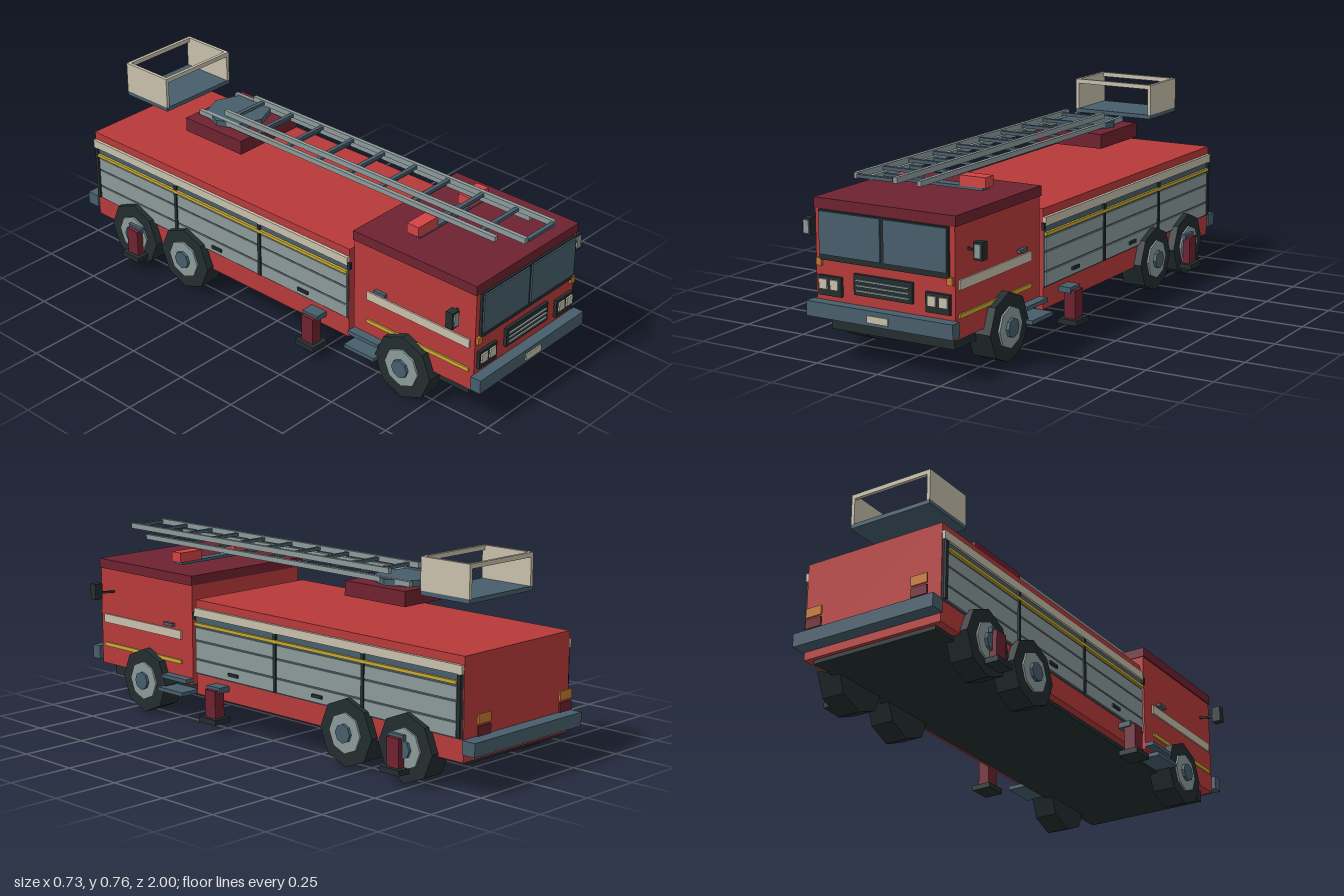
import * as THREE from 'three';

const mat = (name, color) => {
  const m = new THREE.MeshStandardMaterial({ color, flatShading: true });
  m.name = name;
  return m;
};

export function createModel() {
  const red = mat('body red', 0xb83a3a);
  const darkRed = mat('dark red', 0x6e2230);
  const brightRed = mat('beacon red', 0xd24343);
  const slate = mat('slate blue', 0x475e6c);
  const dark = mat('charcoal', 0x232d2f);
  const cream = mat('cream', 0xc8c0ac);
  const grey = mat('light grey', 0x8c9a9a);
  const yellow = mat('yellow', 0xc8a832);
  const orange = mat('orange', 0xc87830);

  const model = new THREE.Group();
  model.name = 'fireTruck';

  // Box given by its lower and upper bounds on each axis
  const box = (name, m, x0, x1, y0, y1, z0, z1, parent = model) => {
    const mesh = new THREE.Mesh(new THREE.BoxGeometry(x1 - x0, y1 - y0, z1 - z0), m);
    mesh.position.set((x0 + x1) / 2, (y0 + y1) / 2, (z0 + z1) / 2);
    mesh.name = name;
    parent.add(mesh);
    return mesh;
  };
  // The same box on both sides
  const pair = (name, m, x0, x1, ...rest) => {
    box(name + 'Left', m, x0, x1, ...rest);
    box(name + 'Right', m, -x1, -x0, ...rest);
  };

  // Chassis, cab and rear body
  box('chassis', dark, -0.25, 0.25, 0.1, 0.15, -0.93, 0.91);
  box('cab', red, -0.28, 0.28, 0.145, 0.53, 0.408, 0.95);
  box('cabRoof', darkRed, -0.285, 0.285, 0.53, 0.567, 0.405, 0.952);
  box('rearBody', red, -0.28, 0.28, 0.115, 0.48, -0.945, 0.385);

  // Bumpers and number plate
  box('frontBumper', slate, -0.296, 0.296, 0.16, 0.213, 0.95, 0.992);
  box('numberPlate', cream, -0.043, 0.043, 0.172, 0.197, 0.992, 0.997);
  box('rearBumper', slate, -0.287, 0.287, 0.145, 0.195, -1, -0.945);

  // Windscreen, grille, headlights and indicators
  box('windscreenFrame', dark, -0.26, 0.26, 0.355, 0.529, 0.95, 0.96);
  pair('windscreen', slate, 0.007, 0.256, 0.375, 0.525, 0.96, 0.966);
  box('grille', dark, -0.118, 0.118, 0.25, 0.323, 0.95, 0.962);
  for (const y of [0.267, 0.285, 0.303]) {
    box('grilleBar', grey, -0.107, 0.107, y - 0.003, y + 0.003, 0.962, 0.968);
  }
  pair('headlightHousing', dark, 0.17, 0.265, 0.232, 0.301, 0.95, 0.962);
  pair('innerHeadlight', cream, 0.181, 0.213, 0.255, 0.29, 0.962, 0.968);
  pair('outerHeadlight', cream, 0.226, 0.259, 0.255, 0.29, 0.962, 0.968);
  pair('indicator', orange, 0.253, 0.275, 0.333, 0.36, 0.95, 0.96);

  // Mirrors on thin arms
  for (const s of [1, -1]) {
    const a = new THREE.Vector3(s * 0.278, 0.443, 0.87);
    const b = new THREE.Vector3(s * 0.345, 0.443, 0.9);
    const arm = box('mirrorArm', dark, -0.004, 0.004, -0.004, 0.004, 0, a.distanceTo(b));
    arm.position.copy(a).lerp(b, 0.5);
    arm.lookAt(b);
  }
  pair('mirrorHousing', dark, 0.328, 0.363, 0.418, 0.48, 0.885, 0.915);
  pair('mirrorGlass', grey, 0.334, 0.357, 0.426, 0.473, 0.915, 0.92);

  // Cab side stripes, door handles and steps
  pair('cabStripe', cream, 0.28, 0.286, 0.313, 0.347, 0.47, 0.93);
  pair('cabYellowStripe', yellow, 0.28, 0.286, 0.217, 0.232, 0.47, 0.93);
  pair('doorHandle', slate, 0.28, 0.294, 0.358, 0.37, 0.51, 0.56);
  pair('upperStep', slate, 0.27, 0.315, 0.155, 0.17, 0.41, 0.55);
  pair('lowerStep', slate, 0.25, 0.335, 0.108, 0.123, 0.41, 0.55);

  // Shutter lockers along the body
  pair('lockerBacking', slate, 0.28, 0.284, 0.195, 0.42, -0.94, 0.384);
  pair('bodyStripe', cream, 0.28, 0.292, 0.418, 0.45, -0.943, 0.384);
  pair('bodyYellowStripe', yellow, 0.284, 0.294, 0.383, 0.395, -0.92, 0.382);
  for (const [z0, z1] of [[-0.04, 0.38], [-0.48, -0.06], [-0.918, -0.498]]) {
    for (const [y0, y1] of [[0.2, 0.25], [0.256, 0.322], [0.328, 0.375]]) {
      pair('shutterSlat', grey, 0.284, 0.289, y0, y1, z0, z1);
    }
    const mid = (z0 + z1) / 2;
    pair('shutterHandle', dark, 0.289, 0.296, 0.218, 0.23, mid - 0.025, mid + 0.025);
  }
  for (const z of [0.39, -0.05, -0.489, -0.93]) {
    pair('lockerPost', dark, 0.281, 0.292, z > 0.3 ? 0.405 : 0.2, z > 0.3 ? 0.43 : 0.418, z - 0.007, z + 0.007);
  }

  // Rear lights
  pair('rearIndicator', orange, 0.185, 0.25, 0.25, 0.285, -0.984, -0.977);
  pair('rearLight', darkRed, 0.185, 0.25, 0.208, 0.243, -0.984, -0.977);

  // Wheels: eight-sided tyre, rim and hub
  const disc = (name, m, r, x0, x1, parent) => {
    const g = new THREE.CylinderGeometry(r, r, x1 - x0, 8).rotateZ(Math.PI / 2);
    const mesh = new THREE.Mesh(g, m);
    mesh.position.x = (x0 + x1) / 2;
    mesh.name = name;
    parent.add(mesh);
  };
  for (const z of [0.66, -0.43, -0.71]) {
    for (const s of [1, -1]) {
      const wheel = new THREE.Group();
      wheel.name = 'wheel';
      disc('tyre', dark, 0.125, 0.22, 0.31, wheel);
      disc('rim', grey, 0.075, 0.3, 0.317, wheel);
      disc('hub', slate, 0.035, 0.31, 0.328, wheel);
      wheel.position.set(0, 0.125, z);
      wheel.rotation.y = s > 0 ? 0 : Math.PI;
      model.add(wheel);
    }
  }

  // Stabiliser legs
  for (const z of [0.24, -0.685]) {
    pair('stabiliserBeam', slate, 0.25, 0.33, 0.155, 0.176, z - 0.035, z + 0.035);
    pair('stabiliserLeg', darkRed, 0.3, 0.345, 0.06, 0.165, z - 0.028, z + 0.028);
    pair('stabiliserFoot', dark, 0.285, 0.361, 0.04, 0.06, z - 0.045, z + 0.045);
  }

  // Beacons on the cab roof
  box('beaconBase', slate, -0.18, 0.18, 0.575, 0.586, 0.575, 0.62);
  pair('beacon', brightRed, 0.087, 0.193, 0.585, 0.623, 0.57, 0.622);

  // Turntable
  box('turntableBase', darkRed, -0.152, 0.152, 0.57, 0.625, -0.56, -0.27);
  const turntable = new THREE.Mesh(new THREE.CylinderGeometry(0.12, 0.12, 0.022, 8), slate);
  turntable.position.set(0, 0.636, -0.43);
  turntable.name = 'turntable';
  model.add(turntable);

  // Two-section ladder
  const ladder = (name, inner, outer, y0, y1, z0, z1, firstRung, count) => {
    pair(name + 'Rail', grey, inner, outer, y0, y1, z0, z1);
    for (let i = 0; i < count; i++) {
      const z = firstRung + i * 0.151;
      box(name + 'Rung', slate, -inner, inner, y0 + 0.004, y1 - 0.005, z - 0.008, z + 0.008);
    }
  };
  ladder('lowerLadder', 0.088, 0.104, 0.63, 0.649, -0.537, 0.88, -0.4, 9);
  ladder('upperLadder', 0.071, 0.086, 0.659, 0.68, -0.42, 0.992, -0.37, 10);

  // Rescue basket: slate floor, solid sides, open front and back
  box('basketFloor', slate, -0.168, 0.168, 0.627, 0.643, -0.865, -0.646);
  pair('basketSide', cream, 0.155, 0.168, 0.643, 0.762, -0.865, -0.646);
  for (const z of [-0.865, -0.659]) {
    box('basketRail', cream, -0.155, 0.155, 0.745, 0.762, z, z + 0.013);
  }

  return model;
}
